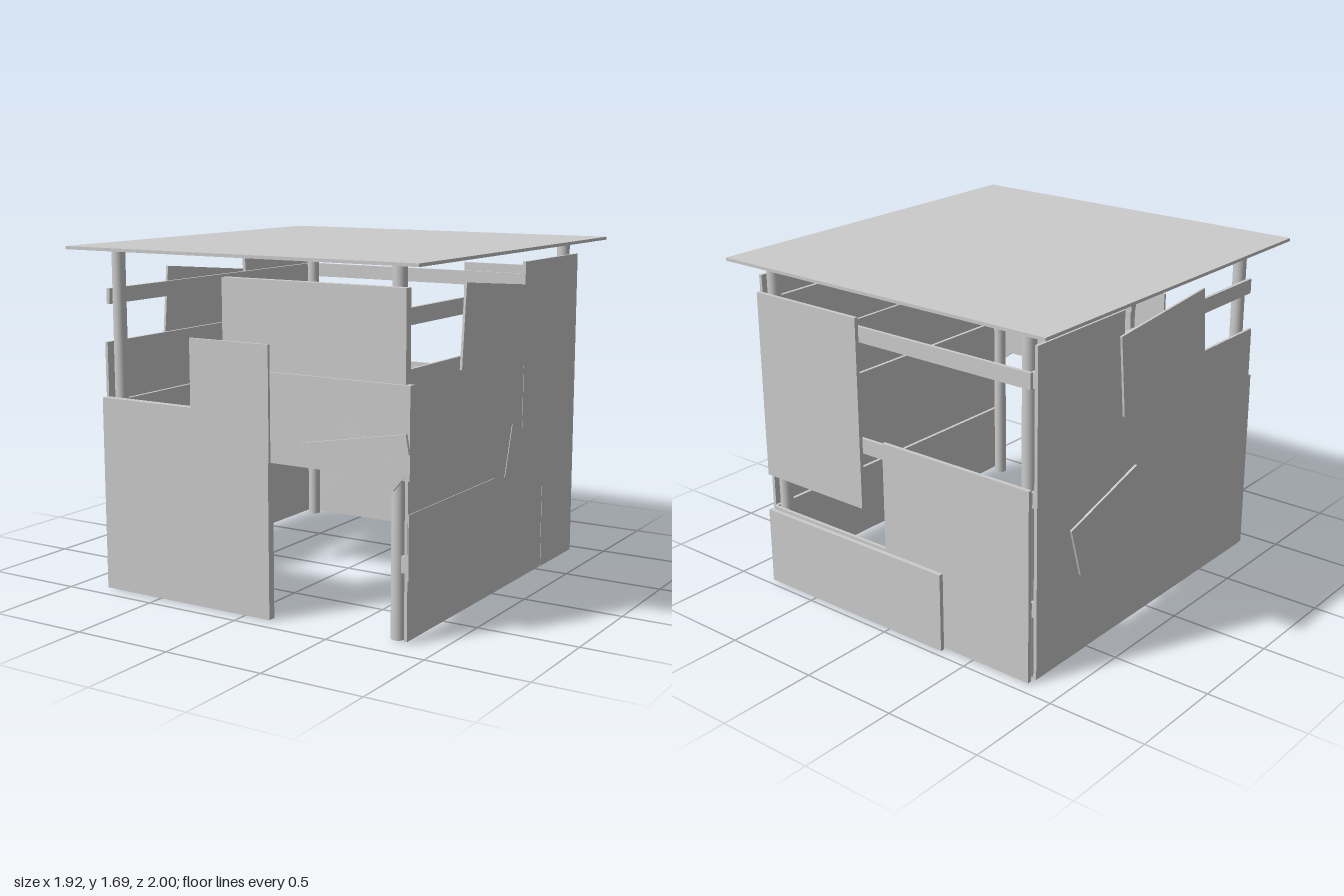
import * as THREE from 'three';

export function createModel() {
  const model = new THREE.Group();
  model.name = 'shack';
  const mat = new THREE.MeshStandardMaterial({ color: 0xcccccc });

  // Box given by its extents on each axis
  const box = (parent, name, [x0, x1], [y0, y1], [z0, z1]) => {
    const mesh = new THREE.Mesh(new THREE.BoxGeometry(x1 - x0, y1 - y0, z1 - z0), mat);
    mesh.position.set((x0 + x1) / 2, (y0 + y1) / 2, (z0 + z1) / 2);
    mesh.name = name;
    parent.add(mesh);
    return mesh;
  };

  // Flat roof sheet
  box(model, 'roof', [-0.96, 0.96], [1.675, 1.69], [-1, 1]);

  // Corner posts
  const postGeo = new THREE.CylinderGeometry(0.033, 0.033, 1.665, 24);
  for (const x of [-0.777, 0.777]) {
    for (const z of [0.835, -0.87]) {
      const post = new THREE.Mesh(postGeo, mat);
      post.name = 'cornerPost';
      post.position.set(x, 0.8425, z);
      model.add(post);
    }
  }

  // Three rails on the back and on each side
  const railHeights = [[0.325, 0.4], [0.86, 0.935], [1.41, 1.485]];
  for (const y of railHeights) {
    box(model, 'backRail', [-0.82, 0.82], y, [-0.92, -0.903]);
    box(model, 'rightRail', [0.81, 0.828], y, [-0.9, 0.87]);
    box(model, 'leftRail', [-0.828, -0.81], y, [-0.9, 0.87]);
  }

  // Side walls: s is +1 for +x and -1 for -x
  for (const s of [1, -1]) {
    const wall = new THREE.Group();
    wall.name = s > 0 ? 'plusXWall' : 'minusXWall';
    model.add(wall);
    const span = (a, b) => (s > 0 ? [a, b] : [-b, -a]);
    box(wall, 'lowWallSheet', span(0.828, 0.843), [0.015, 1.225], [-0.895, 0.872]);
    box(wall, 'tallWallSheet', span(0.828, 0.845), [0.7, 1.605], [-0.9, -0.27]);
    box(wall, 'lowerCornerSheet', span(0.828, 0.845), [0.015, 0.7], [-0.9, -0.52]);

    // Crooked board nailed over the window gap
    const board = box(wall, 'crookedBoard', span(0.846, 0.858), [1.13, 1.525], [-0.29, 0.395]);
    board.rotation.x = -0.095;
    board.position.set(s * 0.852, 1.328, 0.052);

    // Small crooked patch, nearly flush on the +x side
    const out = s > 0 ? 0.846 : 0.856;
    const patch = box(wall, 'smallPatch', span(out - 0.012, out), [0.5, 0.76], [-0.63, -0.1]);
    patch.rotation.x = -0.29;
    patch.position.set(s * (out - 0.006), 0.62, -0.37);
  }
  // Low plank on the +x wall
  box(model, 'lowPlank', [0.83, 0.847], [0.29, 0.59], [0.03, 0.87]);

  // Back wall sheets
  box(model, 'upperBackSheet', [0.175, 0.825], [0.58, 1.53], [-0.94, -0.92]);
  box(model, 'cornerBackSheet', [-0.83, 0.03], [0.01, 0.955], [-0.94, -0.92]);
  box(model, 'lowBackSheet', [-0.33, 0.81], [0.003, 0.4], [-0.964, -0.942]);

  // Front wall sheets around the doorway
  box(model, 'doorSideSheet', [-0.83, 0.14], [0.005, 0.96], [0.877, 0.917]);
  box(model, 'topFrontSheet', [-0.105, 0.855], [1.167, 1.577], [0.877, 0.917]);
  box(model, 'doorLintelSheet', [-0.1, 0.877], [0.75, 1.165], [0.878, 0.918]);
  box(model, 'frontPatch', [-0.285, 0.155], [0.75, 1.29], [0.918, 0.932]);

  // Crooked planks on the front
  const plank = box(model, 'tiltedPlank', [0.335, 0.875], [0.825, 0.915], [0.918, 0.932]);
  plank.rotation.z = 0.175;
  plank.position.set(0.606, 0.866, 0.925);
  const brace = box(model, 'diagonalPlank', [0.48, 0.86], [0.79, 0.89], [0.908, 0.921]);
  brace.rotation.z = -0.68;
  brace.position.set(0.68, 0.857, 0.9145);

  // Plain ground contact: the lowest sheet rests at y = 0
  const low = new THREE.Box3().setFromObject(model).min.y;
  model.position.y = -low;
  return model;
}
